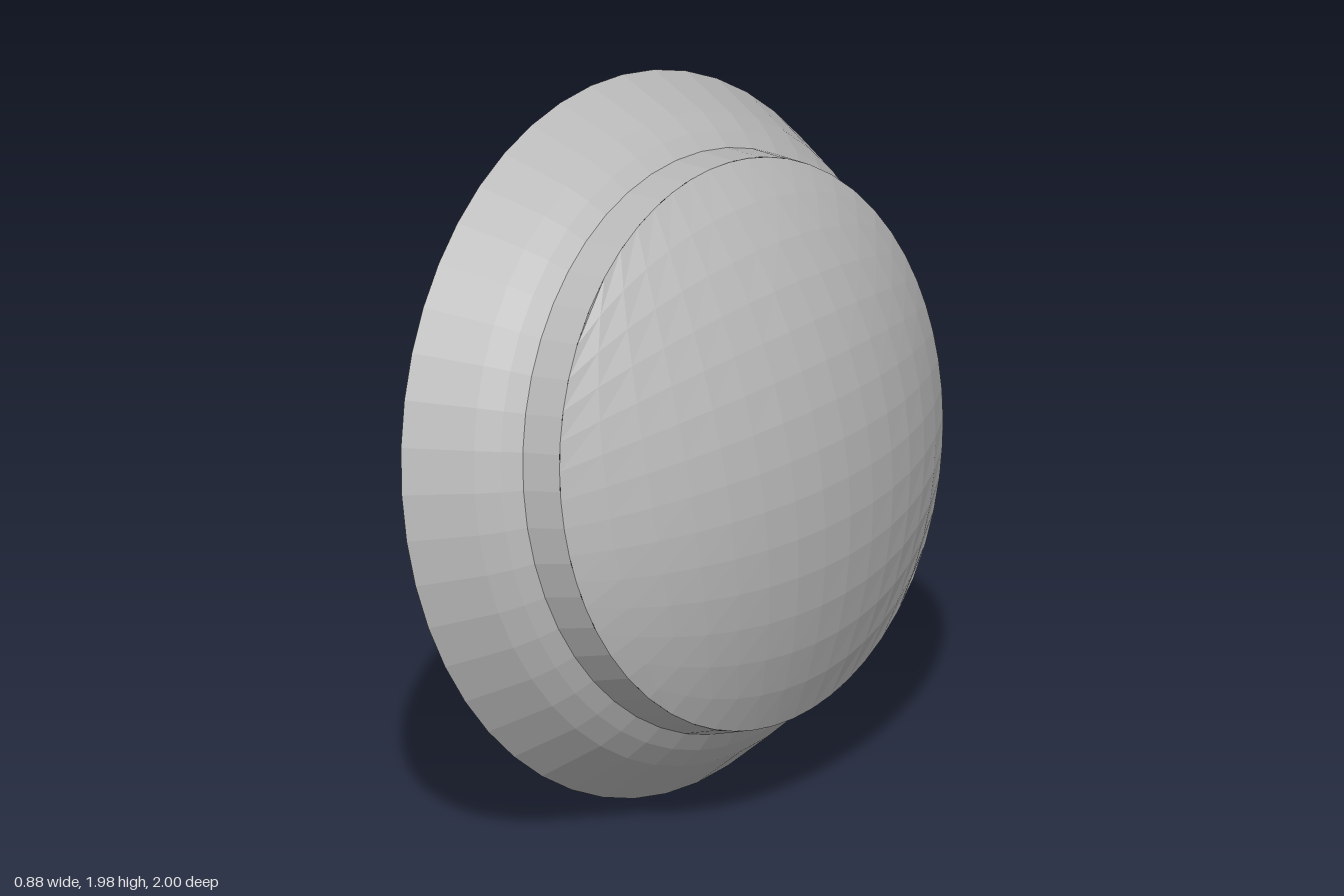
import * as THREE from 'three';

// An open, thin shell: flared flange, short collar and shallow dome on one tilted axis.
export function createModel() {
  const model = new THREE.Group();
  const grey = new THREE.MeshStandardMaterial({ color: 0xb8b8b8, flatShading: true, side: THREE.DoubleSide });
  grey.name = 'plain grey';

  const shell = new THREE.Group();
  shell.name = 'shell';
  const add = (name, geometry) => {
    const mesh = new THREE.Mesh(geometry, grey);
    mesh.name = name;
    shell.add(mesh);
  };
  const ring = (points) => new THREE.LatheGeometry(points.map(([r, y]) => new THREE.Vector2(r, y)), 48);

  // Flared flange, curving in towards the collar
  add('flange', ring([[1.007, 0], [0.905, 0.178], [0.857, 0.235], [0.811, 0.275]]));

  // Slightly tapered collar
  const domeEdge = 0.793, domeBase = 0.395;
  add('collar', ring([[0.811, 0.275], [domeEdge, domeBase]]));

  // Spherical cap: a square grid rounded to a disc, then raised onto the sphere
  const R = 1.39;
  const centre = domeBase - Math.sqrt(R * R - domeEdge * domeEdge);
  const dome = new THREE.PlaneGeometry(2, 2, 14, 14).rotateX(-Math.PI / 2);
  const p = dome.attributes.position;
  for (let i = 0; i < p.count; i++) {
    const u = p.getX(i), v = p.getZ(i);
    const x = domeEdge * u * Math.sqrt(1 - v * v / 2);
    const z = domeEdge * v * Math.sqrt(1 - u * u / 2);
    p.setXYZ(i, x, centre + Math.sqrt(R * R - x * x - z * z), z);
  }
  dome.computeVertexNormals();
  add('dome', dome);

  // Turn the axis sideways, leaning slightly up and forward
  const axis = new THREE.Vector3(0.977, 0.173, 0.127).normalize();
  const side = new THREE.Vector3(0, 0, -1).projectOnPlane(axis).normalize();
  const third = new THREE.Vector3().crossVectors(side, axis);
  shell.quaternion.setFromRotationMatrix(new THREE.Matrix4().makeBasis(side, axis, third));
  shell.position.set(-0.224, 1, 0);
  model.add(shell);
  return model;
}
